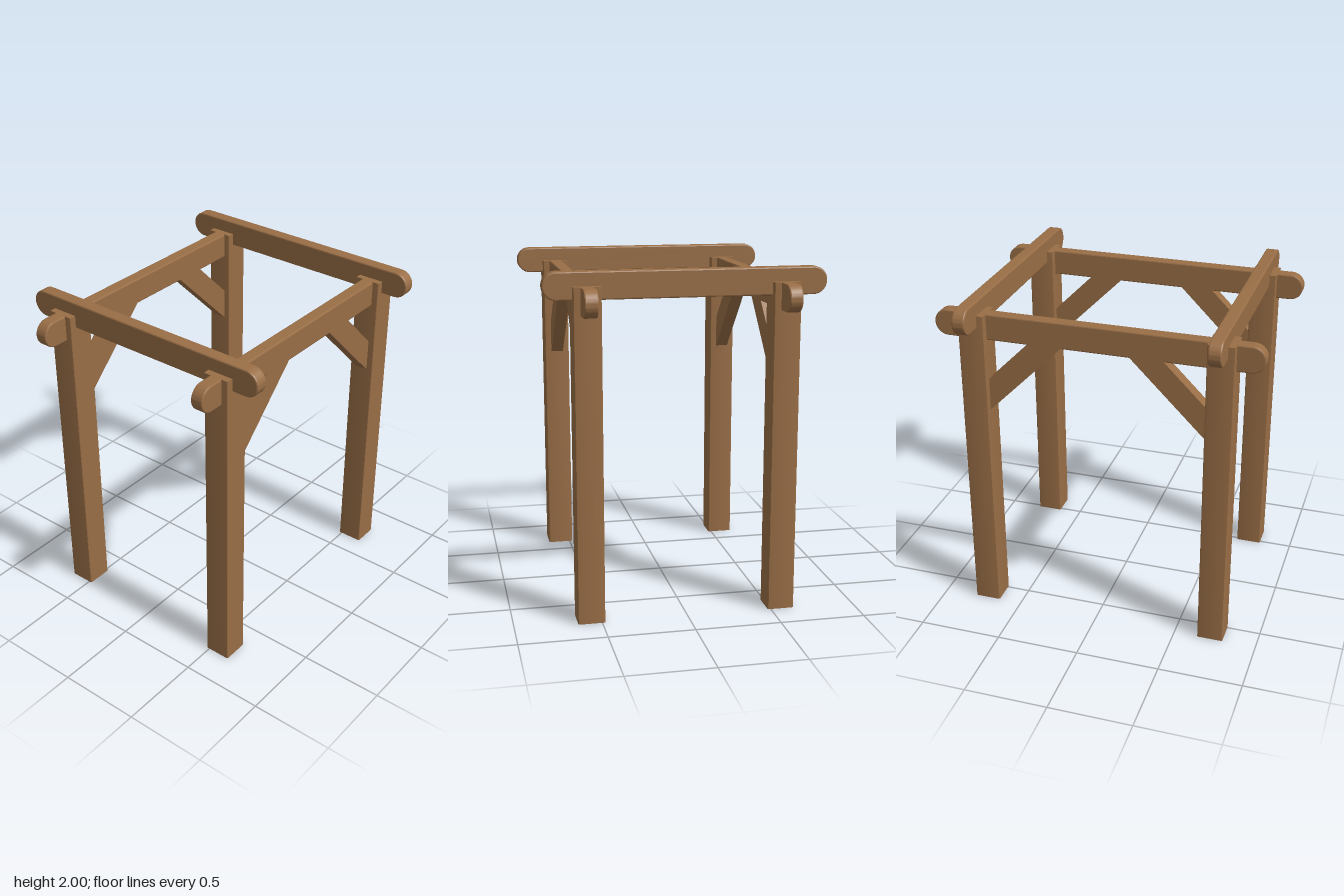
import * as THREE from 'three';
import { toCreasedNormals } from 'three/addons/utils/BufferGeometryUtils.js';

const BEVEL = 0.008;
const THICK = 0.076;

// Plank cut from an outline, centred on its thickness, with softened edges
function plank(shape, thick, bevel = BEVEL) {
  const geo = new THREE.ExtrudeGeometry(shape, {
    depth: thick - 2 * bevel,
    bevelEnabled: bevel > 0,
    bevelSize: bevel,
    bevelThickness: bevel,
    bevelOffset: -bevel,
    bevelSegments: 2,
    curveSegments: 16,
  });
  geo.translate(0, 0, bevel - thick / 2);
  return toCreasedNormals(geo, 0.35);
}

// Long outline with half-round ends
function roundEnded(length, height) {
  const r = height / 2, a = length / 2 - r;
  const s = new THREE.Shape();
  s.moveTo(-a, -r);
  s.lineTo(a, -r);
  s.absarc(a, 0, r, -Math.PI / 2, Math.PI / 2, false);
  s.lineTo(-a, r);
  s.absarc(-a, 0, r, Math.PI / 2, Math.PI * 1.5, false);
  return s;
}

// Square outline with slightly rounded corners
function roundedSquare(size, r) {
  const a = size / 2 - r;
  const s = new THREE.Shape();
  [[a, a], [-a, a], [-a, -a], [a, -a]].forEach(([x, y], i) =>
    s.absarc(x, y, r, i * Math.PI / 2, (i + 1) * Math.PI / 2, false));
  s.closePath();
  return s;
}

export function createModel() {
  const group = new THREE.Group();
  group.name = 'pergola';
  const wood = new THREE.MeshStandardMaterial({ color: 0x996e46 });
  wood.name = 'wood';

  const add = (name, geo, x, y, z, turn = 0) => {
    const mesh = new THREE.Mesh(geo, wood);
    mesh.name = name;
    mesh.position.set(x, y, z);
    mesh.rotation.y = turn;
    group.add(mesh);
  };

  // Upright post, standing on the ground
  const postGeo = new THREE.ExtrudeGeometry(roundedSquare(0.156, 0.008),
    { depth: 1.92, bevelEnabled: false, curveSegments: 2 });
  postGeo.rotateX(-Math.PI / 2);
  const post = toCreasedNormals(postGeo, 0.35);

  // Beams along the sides and across the front and back
  const sideBeam = plank(roundEnded(1.914, 0.156), THICK);
  const crossBeam = plank(roundEnded(1.6, 0.156), THICK);

  // Diagonal brace, running from post to beam; ends tucked into both
  const brace = plank(new THREE.Shape([
    new THREE.Vector2(0.66, 1.307),
    new THREE.Vector2(0.66, 1.503),
    new THREE.Vector2(0.38, 1.783),
    new THREE.Vector2(0.184, 1.783),
  ].reverse()), THICK, 0);

  for (const sx of [1, -1]) {
    const side = sx > 0 ? 'left' : 'right';
    add(side + 'SideBeam', sideBeam, sx * 0.56, 1.842, 0, Math.PI / 2);
    for (const sz of [1, -1]) {
      const corner = side + (sz > 0 ? 'Front' : 'Back');
      add(corner + 'Post', post, sx * 0.56, 0, sz * 0.72);
      add(corner + 'Brace', brace, sx * 0.56, 0, 0, -sz * Math.PI / 2);
    }
  }
  add('frontCrossBeam', crossBeam, 0, 1.922, 0.72);
  add('backCrossBeam', crossBeam, 0, 1.922, -0.72);

  return group;
}
